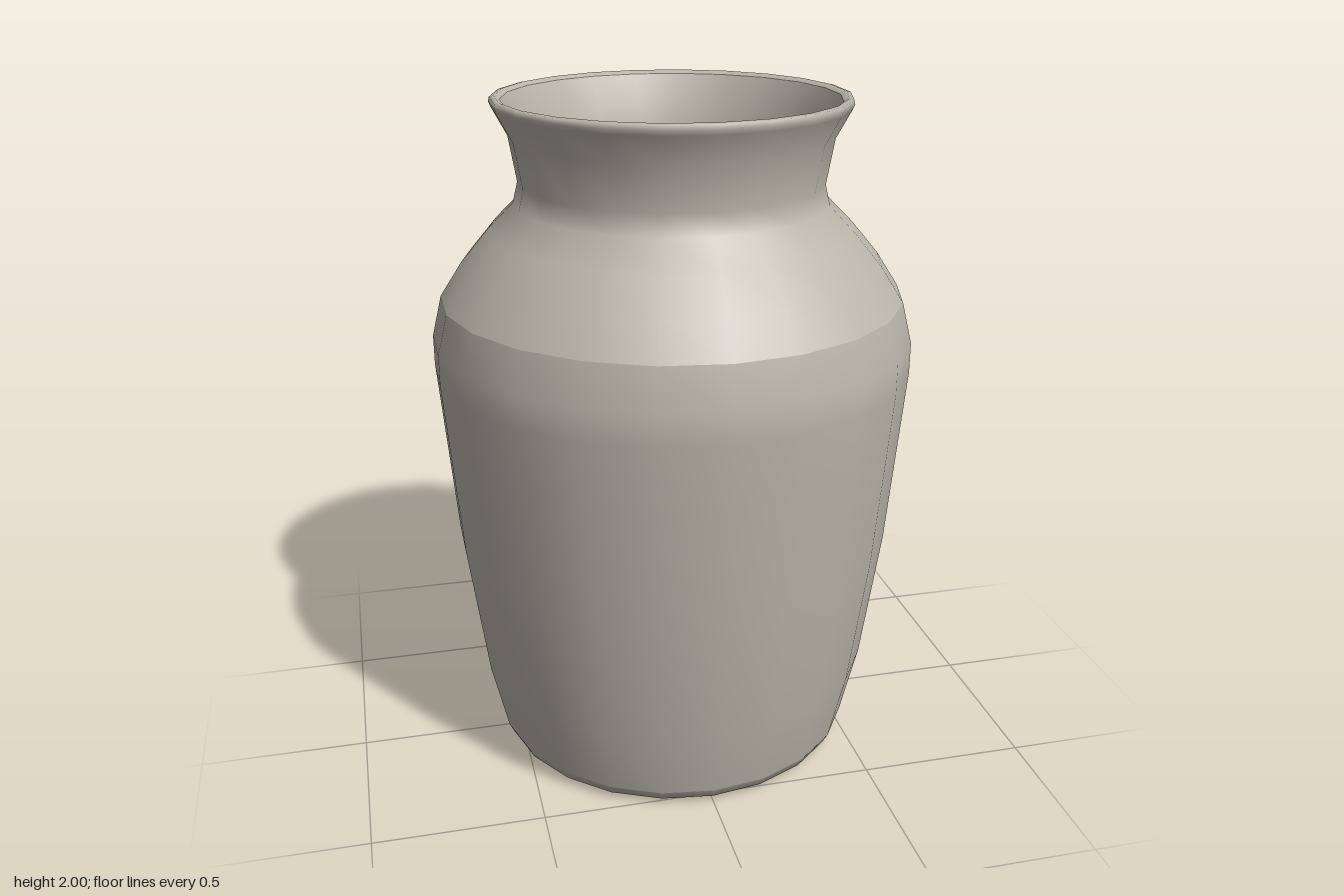
import * as THREE from 'three';

const SIDES = 22;

// Turns a list of [radius, height] pairs around the y axis
function turned(name, profile, material) {
  const points = profile.map(([r, y]) => new THREE.Vector2(r, y));
  const mesh = new THREE.Mesh(new THREE.LatheGeometry(points, SIDES), material);
  mesh.name = name;
  return mesh;
}

export function createModel() {
  const clay = new THREE.MeshStandardMaterial({ color: 0xbab5ab });
  clay.name = 'warm grey clay';

  const vase = new THREE.Group();
  vase.name = 'vase';

  // Underside: shallow recessed disc inside a rounded foot ring
  vase.add(turned('base', [
    [0, 0.03], [0.31, 0.03], [0.36, 0.015], [0.43, 0], [0.50, 0.005], [0.54, 0.02], [0.555, 0.05],
  ], clay));

  // Tapered body rising to the shoulder
  vase.add(turned('body', [
    [0.555, 0.05], [0.605, 0.27], [0.66, 0.68], [0.69, 1.04], [0.705, 1.22], [0.705, 1.31], [0.675, 1.43],
  ], clay));

  // Shoulder, waisted neck and flared lip
  vase.add(turned('shoulderAndNeck', [
    [0.675, 1.43], [0.61, 1.53], [0.53, 1.625], [0.455, 1.70], [0.44, 1.76],
    [0.462, 1.89], [0.505, 1.97], [0.511, 1.985], [0.508, 1.997], [0.495, 2], [0.48, 1.99],
  ], clay));

  // Hollow inside, from the lip down to the floor
  vase.add(turned('interior', [
    [0.48, 1.99], [0.435, 1.89], [0.41, 1.76], [0.425, 1.69], [0.50, 1.60], [0.58, 1.51],
    [0.64, 1.42], [0.67, 1.30], [0.655, 1.04], [0.625, 0.68], [0.57, 0.27], [0.52, 0.10],
    [0.46, 0.07], [0, 0.06],
  ], clay));

  return vase;
}
